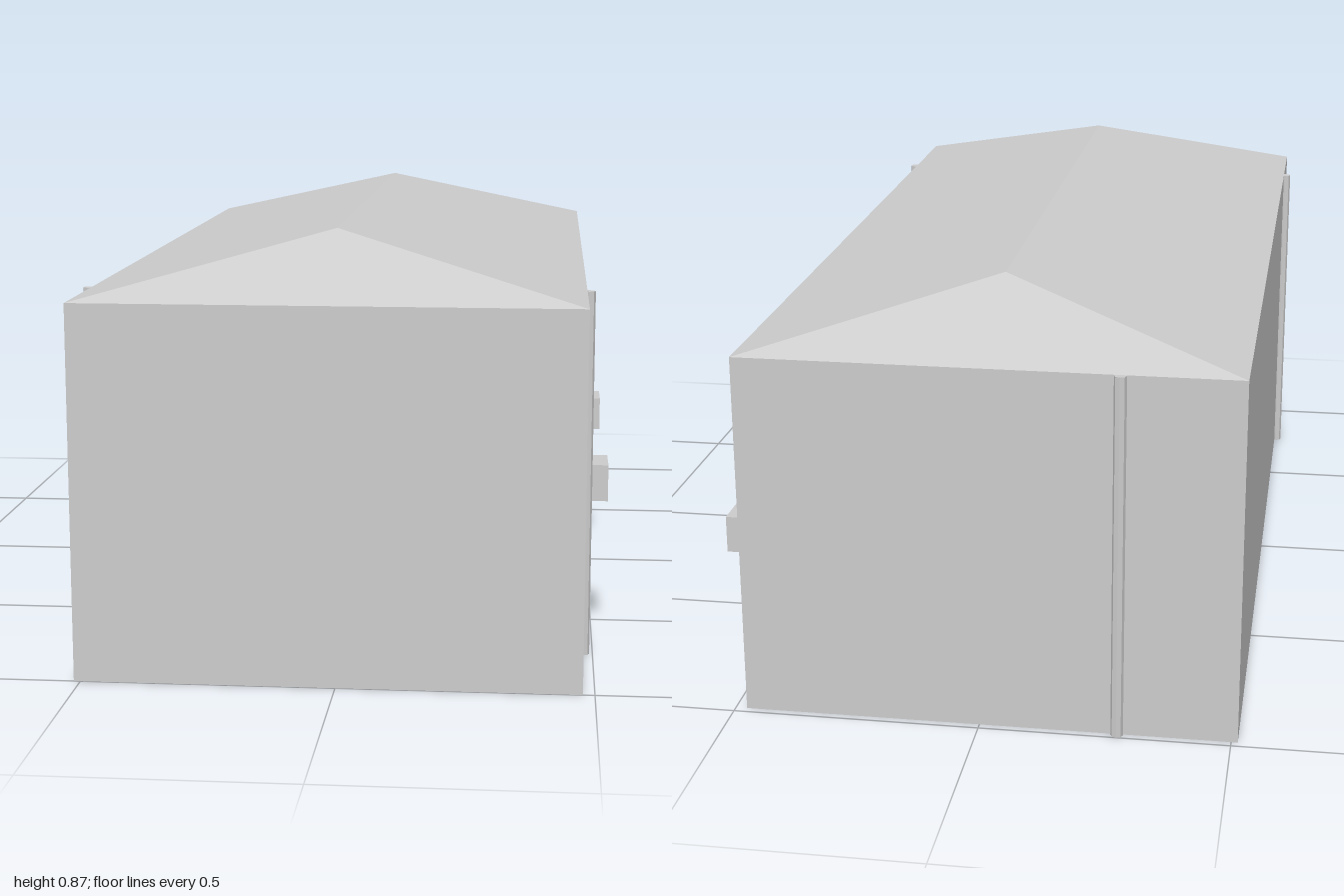
import * as THREE from 'three';

// Footprint, eaves height and ridge
const X0 = -0.513, X1 = 0.477, Z0 = -0.985, Z1 = 1.0;
const EAVES = 0.745, RIDGE = 0.867, RIDGE_X = -0.018, RIDGE_Z0 = -0.74, RIDGE_Z1 = 0.752;

// Flat polygons (corners counter-clockwise from outside) joined into one shell
function shell(faces) {
  const pos = [];
  for (const f of faces)
    for (let i = 1; i < f.length - 1; i++) pos.push(...f[0], ...f[i], ...f[i + 1]);
  const geo = new THREE.BufferGeometry();
  geo.setAttribute('position', new THREE.Float32BufferAttribute(pos, 3));
  geo.computeVertexNormals();
  return geo;
}

export function createModel() {
  const group = new THREE.Group();
  group.name = 'building';
  const grey = new THREE.MeshStandardMaterial({ color: 0xcccccc, side: THREE.DoubleSide, flatShading: true });
  grey.name = 'plainGrey';

  const add = (name, geo, x = 0, y = 0, z = 0) => {
    const mesh = new THREE.Mesh(geo, grey);
    mesh.name = name;
    mesh.position.set(x, y, z);
    group.add(mesh);
  };

  const corners = [[X0, Z1], [X1, Z1], [X1, Z0], [X0, Z0]];

  // Four walls, open underneath
  add('walls', shell(corners.map(([x, z], i) => {
    const [nx, nz] = corners[(i + 1) % 4];
    return [[x, 0, z], [nx, 0, nz], [nx, EAVES, nz], [x, EAVES, z]];
  })));

  // Hipped roof
  const [fl, fr, br, bl] = corners.map(([x, z]) => [x, EAVES, z]);
  const front = [RIDGE_X, RIDGE, RIDGE_Z1], back = [RIDGE_X, RIDGE, RIDGE_Z0];
  add('hippedRoof', shell([[fl, fr, front], [fr, br, back, front], [br, bl, back], [bl, fl, front, back]]));

  // Downpipes, partly sunk into the walls
  const R = 0.0125, OUT = 0.004;
  const pipe = new THREE.CylinderGeometry(R, R, EAVES, 8);
  add('downpipeLeft', pipe, X1 + OUT, EAVES / 2, 0.74);
  add('downpipeRight', pipe, X0 - OUT, EAVES / 2, 0.765);
  add('downpipeBack', pipe, -0.275, EAVES / 2, Z0 - OUT + 0.001);

  // Wall boxes along one side
  const box = new THREE.BoxGeometry(0.05, 0.075, 0.098);
  [0.633, -0.111, -0.855].forEach((z, i) => add('wallBox' + (i + 1), box, X1 + 0.025, 0.343, z));

  return group;
}
